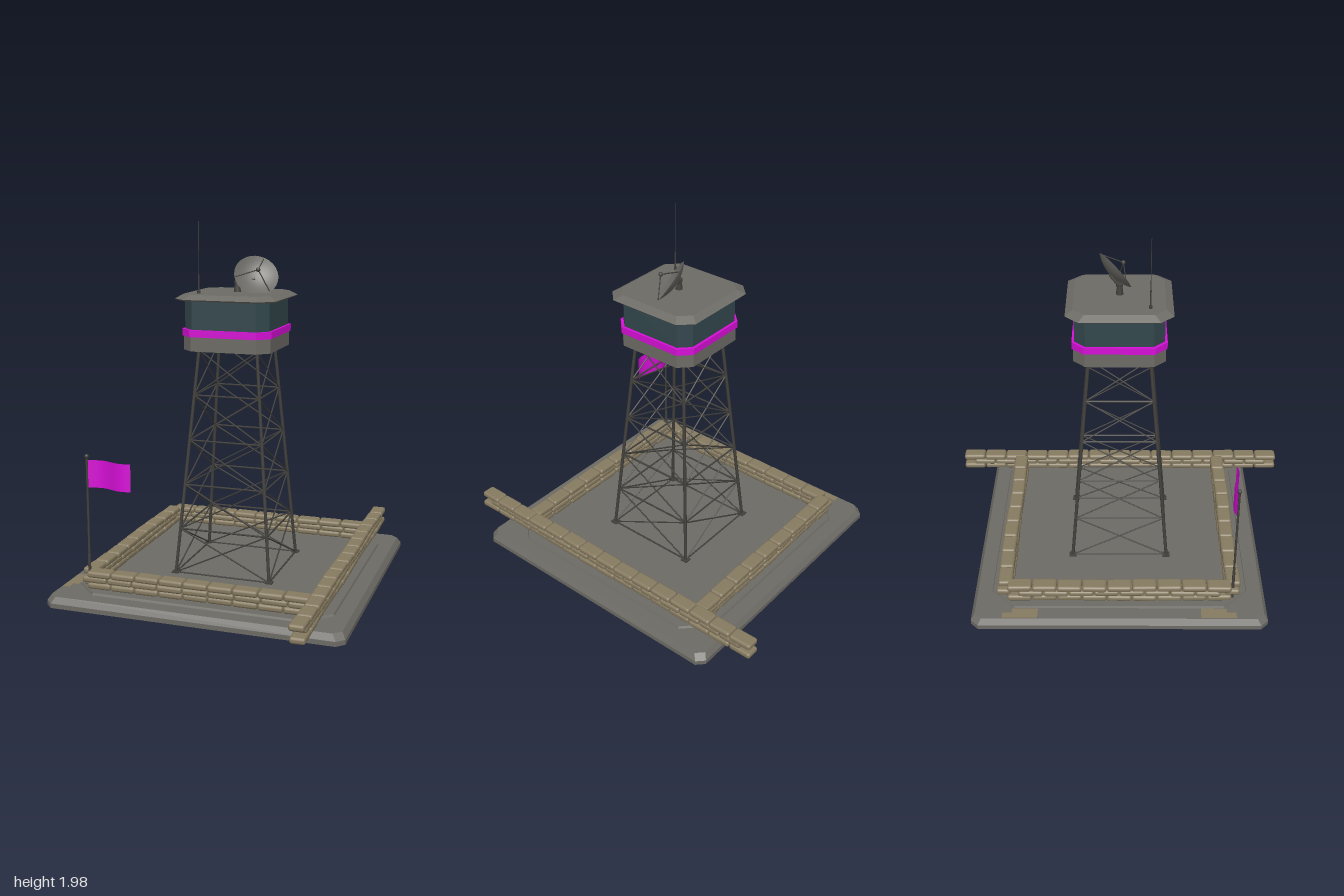
import * as THREE from 'three';
import { RoundedBoxGeometry } from 'three/addons/geometries/RoundedBoxGeometry.js';

const mat = (name, color) => Object.assign(new THREE.MeshStandardMaterial({ color }), { name });
const V = (x, y, z) => new THREE.Vector3(x, y, z);
const UP = V(0, 1, 0);

export function createModel() {
  const concrete = mat('concrete', 0x6d6b65);
  const steel = mat('dark steel', 0x42413d);
  const sand = mat('sandbag cloth', 0x867a60);
  const glass = mat('tinted glass', 0x33474d);
  const accent = mat('magenta', 0xd60fd6);
  const dishMat = mat('dish grey', 0x6b6a65);
  accent.side = dishMat.side = THREE.DoubleSide;

  const model = new THREE.Group();
  model.name = 'watchtower';

  const add = (name, geo, material, parent = model) => {
    const m = new THREE.Mesh(geo, material);
    m.name = name;
    parent.add(m);
    return m;
  };
  const group = (name) => {
    const g = new THREE.Group();
    g.name = name;
    model.add(g);
    return g;
  };

  // Square prism with cut corners, tapering from half-width a to b
  const block = (name, material, a, b, cut, y0, y1, parent = model) => {
    const c = a - cut;
    const s = new THREE.Shape([[a, -c], [a, c], [c, a], [-c, a], [-a, c], [-a, -c], [-c, -a], [c, -a]]
      .map(([x, y]) => new THREE.Vector2(x, y)));
    const g = new THREE.ExtrudeGeometry(s, { depth: y1 - y0, bevelEnabled: false });
    g.rotateX(-Math.PI / 2);
    const p = g.attributes.position;
    for (let i = 0; i < p.count; i++) {
      if (p.getY(i) > (y1 - y0) / 2) {
        p.setX(i, p.getX(i) * b / a);
        p.setZ(i, p.getZ(i) * b / a);
      }
    }
    g.computeVertexNormals();
    g.translate(0, y0, 0);
    return add(name, g, material, parent);
  };

  // Round bar between two points
  const bar = (name, p, q, r, material, parent, sides = 6) => {
    const d = q.clone().sub(p);
    const m = add(name, new THREE.CylinderGeometry(r, r, d.length(), sides), material, parent);
    m.position.copy(p).add(q).multiplyScalar(0.5);
    m.quaternion.setFromUnitVectors(UP, d.normalize());
    return m;
  };

  // Foundation
  block('foundationBase', concrete, 0.8, 0.8, 0.04, 0, 0.025);
  block('foundationBevel', concrete, 0.8, 0.78, 0.04, 0.025, 0.057);
  block('foundationSlab', concrete, 0.7, 0.695, 0.13, 0.057, 0.068);

  // Worn sandy patches on the foundation edge
  for (const s of [-1, 1]) {
    add('edgePatch', new THREE.BoxGeometry(0.07, 0.004, 0.14), sand).position.set(-0.74, 0.057, s * 0.51);
    add('edgePatchEnd', new THREE.BoxGeometry(0.04, 0.004, 0.06), sand).position.set(-0.755, 0.057, s * 0.6);
  }

  // Sandbag walls: three staggered courses
  const bagCache = {};
  const bagGeo = (len) => {
    const key = len.toFixed(3);
    return (bagCache[key] ??= new RoundedBoxGeometry(len - 0.002, 0.035, 0.08, 2, 0.014));
  };
  const wall = (name, from, to, fixed, alongZ, trim) => {
    const g = group(name);
    for (let row = 0; row < 3; row++) {
      const inset = row === 1 ? trim : 0;
      const a = from + inset, b = to - inset;
      const n = Math.round((b - a) / 0.136), len = (b - a) / n;
      for (let i = 0; i < n; i++) {
        const t = a + (i + 0.5) * len, wobble = 0.003 * Math.sin(i * 7.3 + row * 4.1);
        const m = add('sandbag', bagGeo(len), sand, g);
        const y = 0.0885 + row * 0.031;
        m.position.set(alongZ ? fixed + wobble : t, y, alongZ ? t : fixed + wobble);
        m.rotation.y = (alongZ ? Math.PI / 2 : 0) + wobble * 6;
      }
    }
  };
  wall('leftWall', -0.995, 0.995, 0.617, true, 0.066);
  wall('rightWall', -0.61, 0.61, -0.623, true, 0.06);
  wall('frontWall', -0.62, 0.59, 0.617, false, -0.03);
  wall('backWall', -0.62, 0.59, -0.625, false, -0.03);

  // Lattice tower: legs, horizontal ties and crossed braces
  const tower = group('latticeTower');
  const levels = [0.07, 0.316, 0.562, 0.808, 1.054, 1.3];
  const half = (y) => 0.268 - (y - 0.07) * 0.0855;
  const corner = (k, y) => {
    const [sx, sz] = [[1, 1], [-1, 1], [-1, -1], [1, -1]][k % 4];
    return V(sx * half(y), y, sz * half(y));
  };
  for (let k = 0; k < 4; k++) {
    bar('towerLeg', corner(k, 0.06), corner(k, 1.31), 0.009, steel, tower, 8);
    add('footPlate', new THREE.BoxGeometry(0.04, 0.01, 0.04), steel, tower).position.copy(corner(k, 0.07));
    levels.forEach((y, i) => {
      bar('horizontalTie', corner(k, y), corner(k + 1, y), 0.005, steel, tower);
      if (i === 5) return;
      bar('crossBrace', corner(k, y), corner(k + 1, levels[i + 1]), 0.004, steel, tower);
      bar('crossBrace', corner(k + 1, y), corner(k, levels[i + 1]), 0.004, steel, tower);
    });
  }

  // Cabin
  const cabin = group('cabin');
  block('cabinWall', concrete, 0.242, 0.242, 0.062, 1.3, 1.38, cabin);
  block('cabinStripe', accent, 0.249, 0.249, 0.064, 1.377, 1.415, cabin);
  block('cabinWindows', glass, 0.235, 0.235, 0.058, 1.415, 1.575, cabin);
  block('roofEave', concrete, 0.27, 0.279, 0.068, 1.568, 1.576, cabin);
  block('roof', concrete, 0.279, 0.24, 0.07, 1.576, 1.6, cabin);

  // Whip antenna
  const antenna = group('antenna');
  bar('antennaFoot', V(-0.163, 1.598, 0.158), V(-0.163, 1.615, 0.158), 0.009, steel, antenna, 10);
  bar('antennaBase', V(-0.163, 1.61, 0.158), V(-0.163, 1.7, 0.158), 0.004, steel, antenna, 8);
  bar('antennaWhip', V(-0.163, 1.7, 0.158), V(-0.163, 1.98, 0.158), 0.002, steel, antenna);

  // Satellite dish, opening along its local +y
  const dish = group('satelliteDish');
  dish.position.set(0.099, 1.69, -0.024);
  dish.quaternion.setFromUnitVectors(UP, V(0.4, 0.56, 0.73).normalize());
  const R = 0.121, depth = 0.035, profile = [];
  for (let i = 0; i <= 8; i++) profile.push(new THREE.Vector2(R * i / 8, depth * ((i / 8) ** 2 - 1)));
  add('dishBowl', new THREE.LatheGeometry(profile, 28), dishMat, dish);
  const feed = V(0, 0.06, 0);
  for (let i = 0; i < 3; i++) {
    const a = i * Math.PI * 2 / 3 + 0.5;
    bar('feedStrut', V(R * 0.95 * Math.cos(a), -0.003, R * 0.95 * Math.sin(a)), feed, 0.003, steel, dish);
  }
  add('feedHorn', new THREE.SphereGeometry(0.012, 12, 8), steel, dish).position.copy(feed);

  // Dish mount
  const mount = group('dishMount');
  add('mountPost', new THREE.CylinderGeometry(0.014, 0.02, 0.05, 12), steel, mount).position.set(0, 1.623, 0);
  add('mountCap', new THREE.CylinderGeometry(0.018, 0.018, 0.015, 12), steel, mount).position.set(0, 1.652, 0);
  bar('mountArm', V(0, 1.645, 0), V(0.083, 1.668, -0.05), 0.008, steel, mount, 8);

  // Flagpole and waving flag
  const flag = group('flag');
  bar('flagpole', V(-0.62, 0.06, 0.617), V(-0.62, 0.78, 0.617), 0.006, steel, flag, 10);
  bar('poleSleeve', V(-0.62, 0.06, 0.617), V(-0.62, 0.25, 0.617), 0.008, steel, flag, 10);
  add('poleBall', new THREE.SphereGeometry(0.012, 14, 10), steel, flag).position.set(-0.62, 0.783, 0.617);
  const cloth = new THREE.PlaneGeometry(0.245, 0.148, 20, 1);
  const p = cloth.attributes.position;
  for (let i = 0; i < p.count; i++) {
    const t = p.getX(i) / 0.245 + 0.5;
    p.setZ(i, -0.018 * Math.sin(t * Math.PI * 1.85));
  }
  cloth.computeVertexNormals();
  add('flagCloth', cloth, accent, flag).position.set(-0.4925, 0.688, 0.617);

  return model;
}
